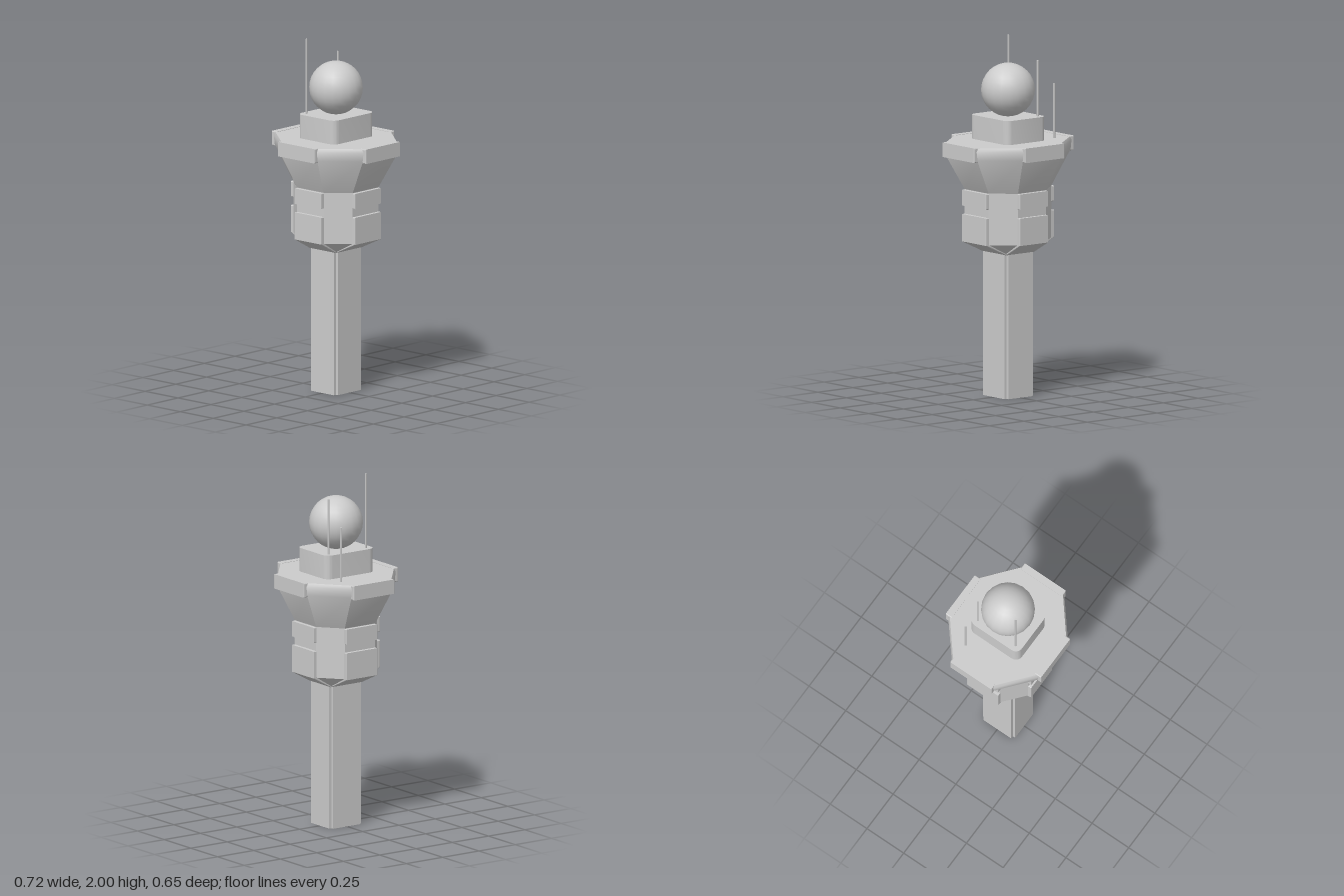
import * as THREE from 'three';
import { toCreasedNormals } from 'three/addons/utils/BufferGeometryUtils.js';

const grey = new THREE.MeshStandardMaterial({ color: 0xcccccc });

function add(parent, name, geometry) {
  const mesh = new THREE.Mesh(geometry, grey);
  mesh.name = name;
  parent.add(mesh);
  return mesh;
}

// Octagonal ring: x and z reach, plus half widths of the front and side faces
const octagon = ([y, ax, az, wx, wz]) => [
  [ax, y, -wz], [ax, y, wz], [wx, y, az], [-wx, y, az],
  [-ax, y, wz], [-ax, y, -wz], [-wx, y, -az], [wx, y, -az],
];

// Closed solid through a stack of octagonal rings
function loft(sections, crease) {
  const rings = sections.map(octagon);
  const pos = [];
  const n = 8;
  for (let r = 0; r < rings.length - 1; r++) {
    for (let i = 0; i < n; i++) {
      const j = (i + 1) % n;
      const [a, b, c, d] = [rings[r][i], rings[r + 1][i], rings[r + 1][j], rings[r][j]];
      pos.push(...a, ...b, ...d, ...b, ...c, ...d);
    }
  }
  const low = rings[0], top = rings[rings.length - 1];
  for (let i = 1; i < n - 1; i++) {
    pos.push(...low[0], ...low[i], ...low[i + 1]);
    pos.push(...top[0], ...top[i + 1], ...top[i]);
  }
  const g = new THREE.BufferGeometry();
  g.setAttribute('position', new THREE.Float32BufferAttribute(pos, 3));
  g.computeVertexNormals();
  return toCreasedNormals(g, crease);
}

// Panel: a profile in (outward, height) swept sideways, facing +x
function panel(profile, halfWidth, bevel) {
  const shape = new THREE.Shape(profile.map(([x, y]) => new THREE.Vector2(x, y)));
  const g = new THREE.ExtrudeGeometry(shape, {
    depth: 2 * (halfWidth - bevel), bevelEnabled: true, bevelSegments: 2,
    bevelSize: bevel, bevelThickness: bevel, bevelOffset: -bevel,
  });
  return g.translate(0, 0, -(halfWidth - bevel));
}

// Upright prism from a plan shape
function prism(shape, y, height) {
  const g = new THREE.ExtrudeGeometry(shape, { depth: height, bevelEnabled: false, curveSegments: 5 });
  return toCreasedNormals(g.rotateX(-Math.PI / 2).translate(0, y, 0), 0.6);
}

function roundedRect(w, d, r) {
  const s = new THREE.Shape();
  s.absarc(w - r, d - r, r, 0, Math.PI / 2);
  s.absarc(r - w, d - r, r, Math.PI / 2, Math.PI);
  s.absarc(r - w, r - d, r, Math.PI, Math.PI * 1.5);
  s.absarc(w - r, r - d, r, Math.PI * 1.5, Math.PI * 2);
  s.closePath();
  return s;
}

export function createModel() {
  const tower = new THREE.Group();
  tower.name = 'controlTower';

  // Shaft with a notch down each corner
  const w = 0.102, d = 0.11, n = 0.016;
  const plan = new THREE.Shape([
    [w, n - d], [w, d - n], [w - n, d - n], [w - n, d], [n - w, d], [n - w, d - n],
    [-w, d - n], [-w, n - d], [n - w, n - d], [n - w, -d], [w - n, -d], [w - n, n - d],
  ].map(([x, y]) => new THREE.Vector2(x, y)));
  add(tower, 'shaft', prism(plan, 0, 0.83));

  // Cab core, tapering down onto the shaft
  add(tower, 'cabCore', loft([
    [0.81, 0.1, 0.108, 0.088, 0.096],
    [0.88, 0.225, 0.21, 0.1, 0.105],
    [1.17, 0.225, 0.21, 0.1, 0.105],
  ], 0.2));

  // Flared deck with softened diagonal edges
  add(tower, 'flaredDeck', loft([
    [1.17, 0.225, 0.21, 0.1, 0.105],
    [1.37, 0.335, 0.302, 0.14, 0.14],
    [1.42, 0.342, 0.308, 0.14, 0.14],
    [1.44, 0.332, 0.298, 0.138, 0.138],
  ], 0.6));

  // Raised panels on the four main faces
  for (let k = 0; k < 4; k++) {
    const side = new THREE.Group();
    side.name = ['left', 'back', 'right', 'front'][k] + 'Panels';
    side.rotation.y = k * Math.PI / 2;
    tower.add(side);
    const alongX = k % 2 === 0;
    const out = alongX ? 0.245 : 0.23;
    const half = alongX ? 0.107 : 0.102;
    const foot = alongX ? 0.1 : 0.108;
    const rim = alongX ? 0.358 : 0.325;
    add(side, 'lowerPanel', panel(
      [[foot, 0.81], [out, 0.878], [out, 1.032], [0.15, 1.032], [0.1, 0.9]], half, 0.004));
    add(side, 'upperPanel', panel(
      [[0.15, 1.08], [out, 1.08], [out, 1.168], [0.15, 1.168]], half, 0.004));
    add(side, 'rimPanel', panel(
      [[rim - 0.04, 1.36], [rim, 1.36], [rim, 1.442], [rim - 0.04, 1.442]], 0.141, 0.005));
  }

  // Roof block and radar dome
  add(tower, 'roofBlock', prism(roundedRect(0.142, 0.167, 0.04), 1.435, 0.14));
  add(tower, 'radarDome', new THREE.SphereGeometry(0.15, 20, 16)).position.y = 1.72;

  // Antennas: x, z, base, tip
  for (const [x, z, base, tip] of [
    [-0.107, 0.127, 1.57, 2], [-0.107, -0.13, 1.57, 1.89], [-0.225, -0.13, 1.435, 1.75],
  ]) {
    const mast = add(tower, 'antenna', new THREE.CylinderGeometry(0.006, 0.006, tip - base, 6));
    mast.position.set(x, (base + tip) / 2, z);
  }
  return tower;
}
